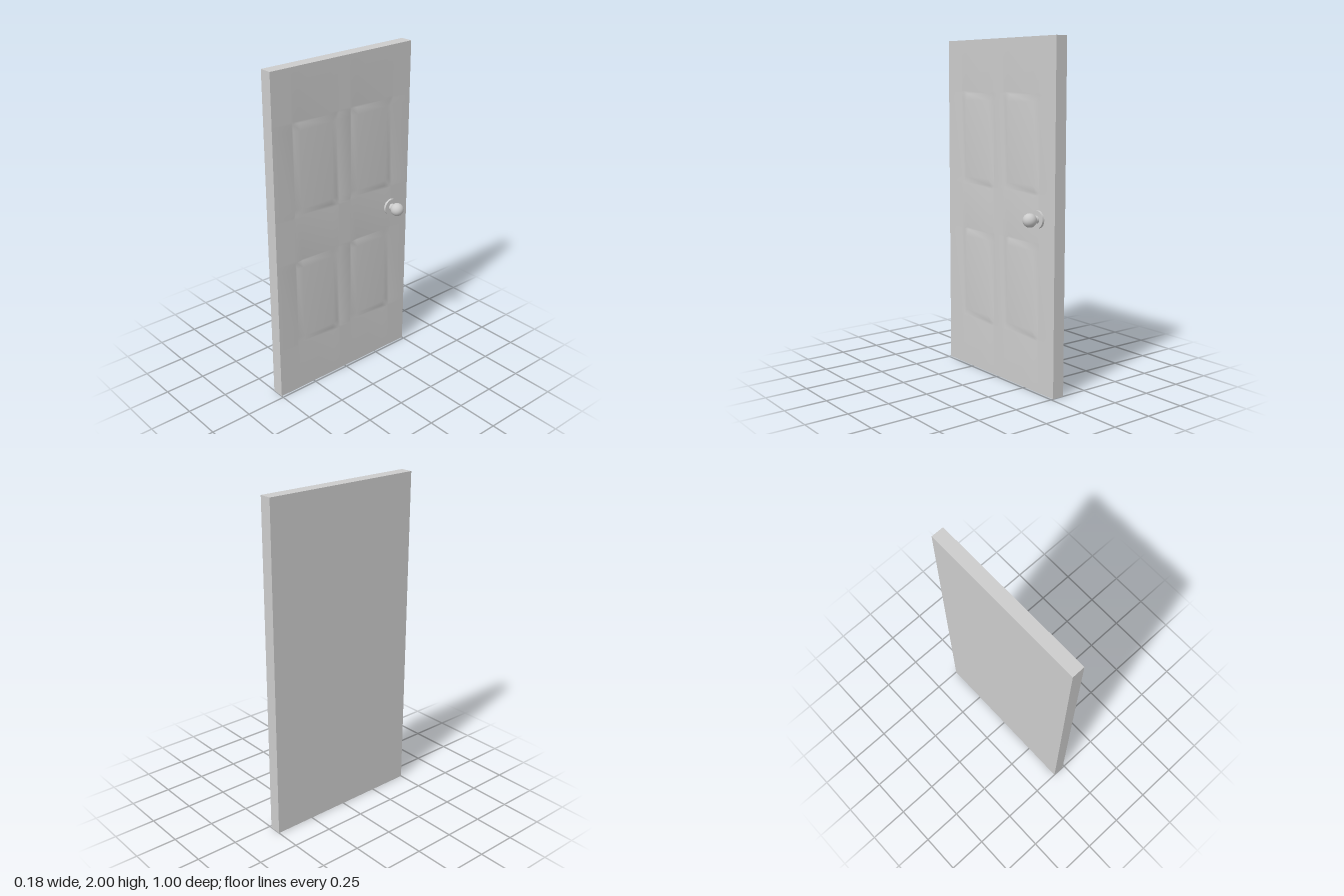
import * as THREE from 'three';

const grey = () => new THREE.MeshStandardMaterial({ color: 0xcccccc });

const BACK = -0.09, FACE = -0.015;
const PANEL_Z = [-0.205, 0.205], PANEL_Y = [0.585, 1.415];
const HALF_Z = 0.165, HALF_Y = 0.285;
// Panel moulding: inset from the opening's edge, height above the door face
const MOULDING = [[0, 0], [0.015, -0.008], [0.055, 0.005]];

function heightAt(z, y) {
  for (const pz of PANEL_Z) for (const py of PANEL_Y) {
    const inset = Math.min(HALF_Z - Math.abs(z - pz), HALF_Y - Math.abs(y - py));
    if (inset < -1e-6) continue;
    for (let i = 1; i < MOULDING.length; i++) {
      const [a, ha] = MOULDING[i - 1], [b, hb] = MOULDING[i];
      if (inset <= b) return ha + (hb - ha) * (inset - a) / (b - a);
    }
    return MOULDING[MOULDING.length - 1][1];
  }
  return 0;
}

// Grid lines along one axis: door edges plus every moulding step
function gridLines(min, max, centres, half) {
  const lines = [min, max];
  for (const c of centres) for (const [inset] of MOULDING) lines.push(c - half + inset, c + half - inset);
  return lines.sort((a, b) => a - b);
}

function panelledFace() {
  const zs = gridLines(-0.5, 0.5, PANEL_Z, HALF_Z);
  const ys = gridLines(0, 2, PANEL_Y, HALF_Y);
  const pos = [], index = [], n = zs.length;
  for (const y of ys) for (const z of zs) pos.push(FACE + heightAt(z, y), y, z);
  for (let j = 0; j < ys.length - 1; j++) {
    for (let i = 0; i < n - 1; i++) {
      const a = j * n + i, b = a + 1, c = a + n + 1, d = a + n;
      const h = (k) => pos[k * 3];
      // Split corner cells along the mitre
      if (Math.abs(h(a) - h(c)) >= Math.abs(h(b) - h(d))) index.push(a, c, b, a, d, c);
      else index.push(a, d, b, b, d, c);
    }
  }
  const g = new THREE.BufferGeometry();
  g.setAttribute('position', new THREE.Float32BufferAttribute(pos, 3));
  g.setIndex(index);
  g.computeVertexNormals();
  return g;
}

export function createModel() {
  const model = new THREE.Group();
  const add = (parent, name, geometry) => {
    const mesh = new THREE.Mesh(geometry, grey());
    mesh.name = name;
    parent.add(mesh);
    return mesh;
  };

  // Slab: a box without its +x side, which the panelled face closes
  const box = new THREE.BoxGeometry(FACE - BACK, 2, 1);
  box.setIndex(Array.from(box.index.array).slice(6));
  box.clearGroups();
  add(model, 'doorSlab', box).position.set((FACE + BACK) / 2, 1, 0);
  add(model, 'panelledFace', panelledFace());

  // Handle: backplate, neck and ball along the x axis
  const handle = new THREE.Group();
  handle.name = 'doorHandle';
  handle.position.set(0, 1, -0.363);
  model.add(handle);
  const rod = (name, radius, x0, x1) => {
    const g = new THREE.CylinderGeometry(radius, radius, x1 - x0, 32).rotateZ(-Math.PI / 2);
    add(handle, name, g).position.x = (x0 + x1) / 2;
  };
  rod('backplate', 0.05, -0.017, -0.001);
  rod('neck', 0.022, -0.002, 0.025);
  add(handle, 'knob', new THREE.SphereGeometry(0.04, 32, 20).rotateZ(-Math.PI / 2)).position.x = 0.048;

  return model;
}
